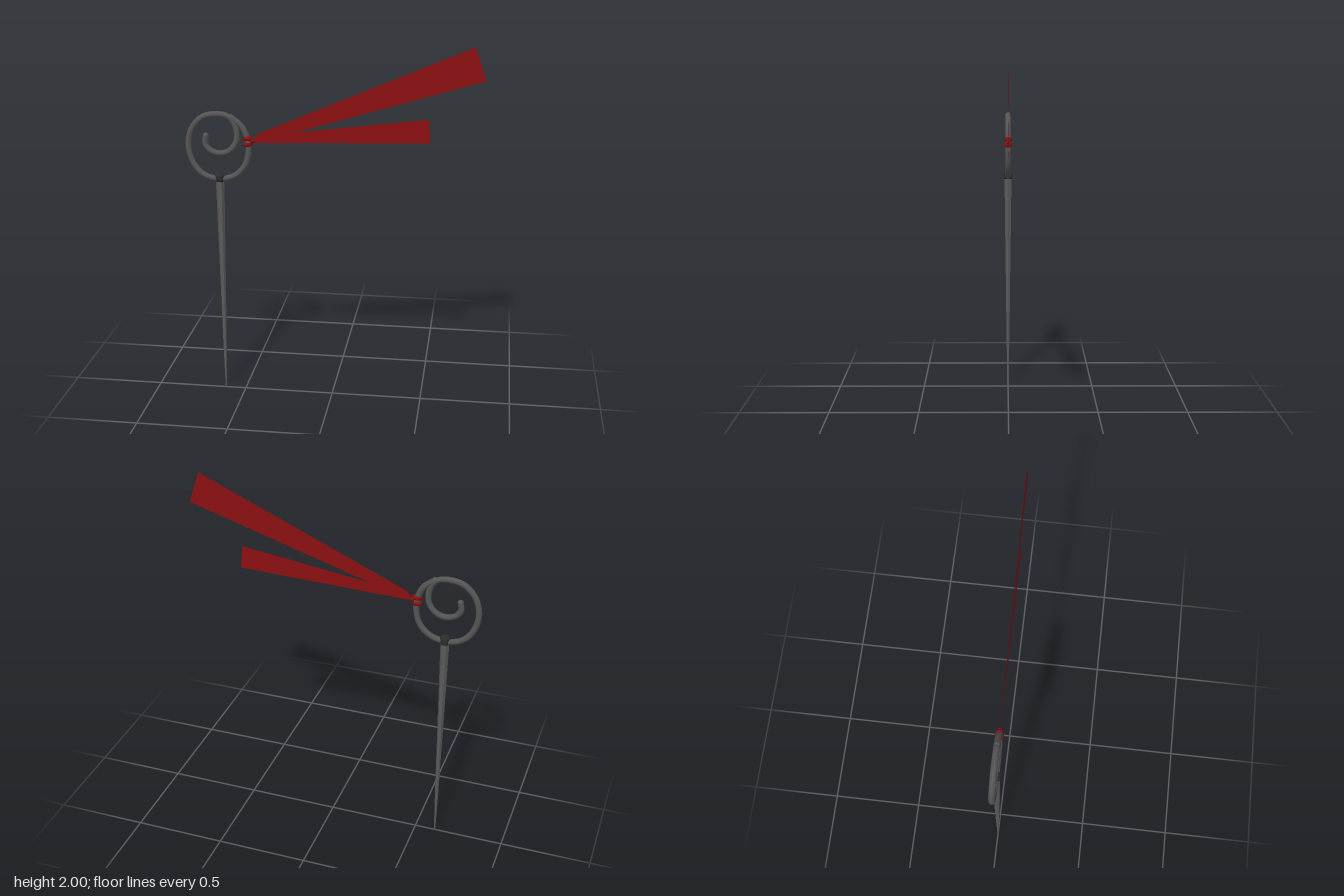
import * as THREE from 'three';

export function createModel() {
  const model = new THREE.Group();
  const iron = new THREE.MeshStandardMaterial({ color: 0x555555 });
  const facetedIron = new THREE.MeshStandardMaterial({ color: 0x5a5a5a, flatShading: true });
  const darkIron = new THREE.MeshStandardMaterial({ color: 0x2c2c2c, flatShading: true });
  const red = new THREE.MeshStandardMaterial({ color: 0x8b0f10 });
  const cloth = new THREE.MeshStandardMaterial({ color: 0x8b0f10, side: THREE.DoubleSide });

  const add = (name, geometry, material, x = 0, y = 0, z = 0) => {
    const mesh = new THREE.Mesh(geometry, material);
    mesh.name = name;
    mesh.position.set(x, y, z);
    model.add(mesh);
    return mesh;
  };

  // Tapered six-sided pin, corners facing left and right
  const pinX = -0.614;
  const profile = [[0, 0], [0.004, 0], [0.0095, 0.25], [0.024, 1.25], [0, 1.25]];
  const pin = add('pin', new THREE.LatheGeometry(
    profile.map(([r, y]) => new THREE.Vector2(r, y)), 6), facetedIron, pinX);
  pin.rotation.y = Math.PI / 2;

  // Collar joining pin and scroll
  const collarProfile = [[0, 1.234], [0.024, 1.234], [0.029, 1.242], [0.029, 1.268], [0.018, 1.28], [0, 1.28]];
  const collar = add('collar', new THREE.LatheGeometry(
    collarProfile.map(([r, y]) => new THREE.Vector2(r, y)), 6), darkIron, pinX);
  collar.rotation.y = Math.PI / 2;

  // Scroll: one rod curling from the inner tip out into the ring
  const path = [
    [-0.685, 1.487], [-0.69, 1.444], [-0.664, 1.407], [-0.611, 1.391], [-0.558, 1.407],
    [-0.521, 1.455], [-0.516, 1.513], [-0.532, 1.566], [-0.563, 1.597], [-0.622, 1.607],
    [-0.696, 1.592], [-0.759, 1.529], [-0.783, 1.434], [-0.759, 1.333], [-0.701, 1.269],
    [-0.616, 1.248], [-0.532, 1.269], [-0.474, 1.328], [-0.453, 1.412], [-0.458, 1.476],
    [-0.489, 1.545], [-0.545, 1.592],
  ].map(([x, y]) => new THREE.Vector3(x, y, 0));
  const rod = 0.0165;
  add('scroll', new THREE.TubeGeometry(new THREE.CatmullRomCurve3(path), 110, rod, 8), iron);
  for (const p of [path[0], path[path.length - 1]]) {
    add('scrollTip', new THREE.SphereGeometry(rod, 10, 8), iron, p.x, p.y);
  }

  // Cord wrapped twice around the ring, with a small knot
  for (const y of [1.447, 1.48]) {
    const wrap = add('cordWrap', new THREE.TorusGeometry(0.013, 0.0135, 8, 14), red, -0.457, y);
    wrap.rotation.x = Math.PI / 2;
    wrap.scale.y = 0.85;
  }
  add('knot', new THREE.SphereGeometry(0.014, 10, 8), red, -0.434, 1.466);

  // Flat ribbons streaming from the knot
  const ribbon = (name, outline) => add(name, new THREE.ShapeGeometry(
    new THREE.Shape(outline.map(([x, y]) => new THREE.Vector2(x, y)))), cloth);
  ribbon('longRibbon', [[-0.43, 1.463], [-0.394, 1.46], [0.8, 1.825], [0.74, 2], [-0.4, 1.506]]);
  ribbon('shortRibbon', [[-0.43, 1.466], [-0.415, 1.456], [0.521, 1.485], [0.51, 1.614], [-0.389, 1.494]]);

  return model;
}
